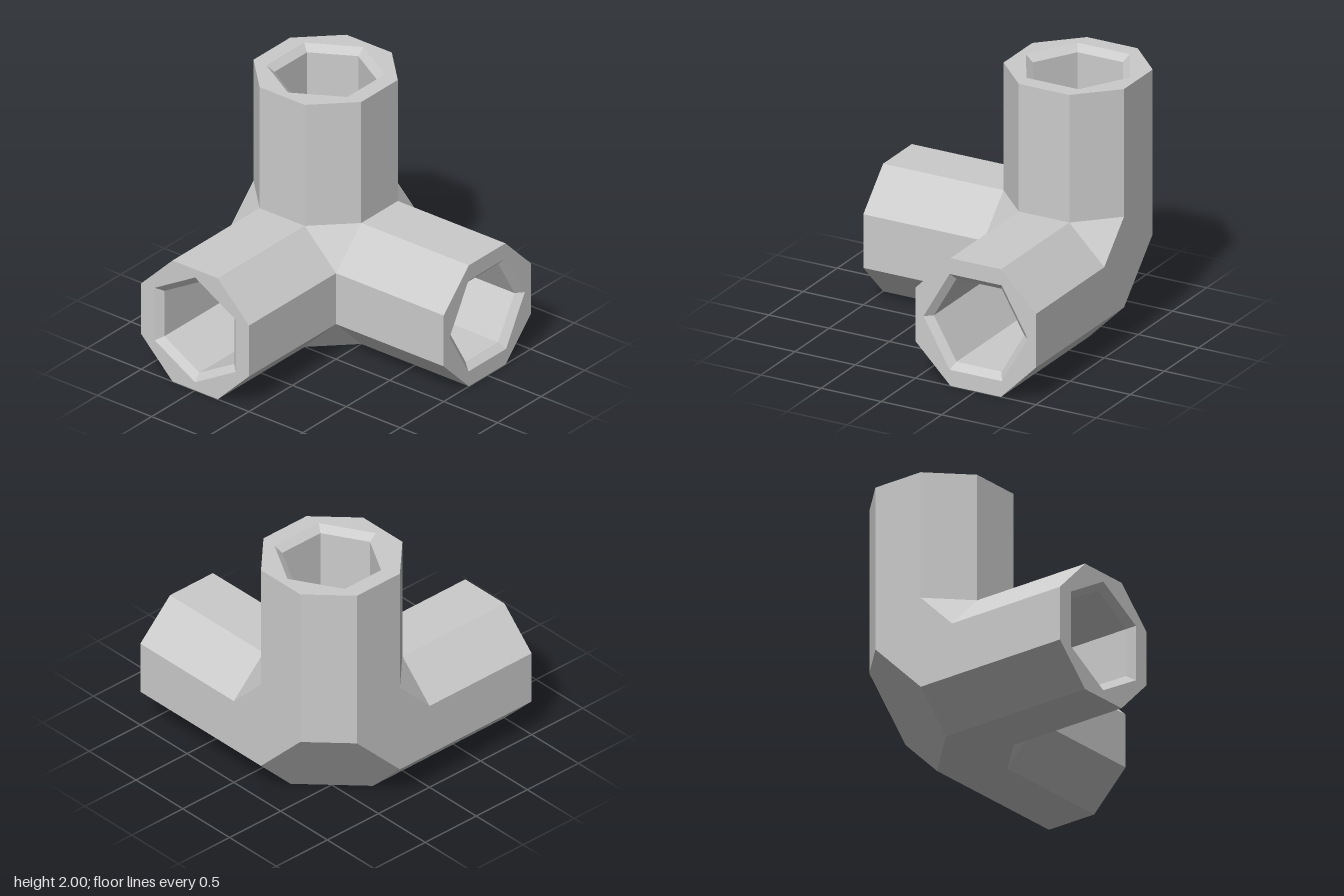
import * as THREE from 'three';

// Corner frame: a, b, c run from the outer corner along the three arms.
const H = 0.29, M = 0.71, LENGTH = 2;
const toModel = ([a, b, c]) => [1 - a, b, c - 1];
// Cyclic turns carry the c arm onto the a arm and the b arm.
const turns = [([a, b, c]) => [a, b, c], ([a, b, c]) => [c, a, b], ([a, b, c]) => [b, c, a]];

function makeMesh(name, faces, turn = turns[0]) {
  const positions = [];
  for (const face of faces) {
    const p = face.map((v) => toModel(turn(v)));
    // Reversed order, because the frame is mirrored in x.
    for (let i = 1; i < p.length - 1; i++) positions.push(...p[0], ...p[i + 1], ...p[i]);
  }
  const geometry = new THREE.BufferGeometry();
  geometry.setAttribute('position', new THREE.Float32BufferAttribute(positions, 3));
  geometry.computeVertexNormals();
  const material = new THREE.MeshStandardMaterial({ color: 0xcccccc, flatShading: true });
  const mesh = new THREE.Mesh(geometry, material);
  mesh.name = name;
  return mesh;
}

// Quads joining two rings of equal size
const bridge = (r0, r1) => r0.map((p, i) => {
  const j = (i + 1) % r0.length;
  return [p, r0[j], r1[j], r1[i]];
});

const hexagon = (radius, angle, c) => Array.from({ length: 6 }, (_, i) => {
  const t = angle + (i * Math.PI) / 3;
  return [0.5 + radius * Math.cos(t), 0.5 + radius * Math.sin(t), c];
});

// Octagonal tube whose inner end meets the mitred hub
function armFaces() {
  const inner = [
    [M, 0, 1], [1, H, 1], [1, M, 1], [M, 1, 1],
    [H, 1, 1], [0, M, 1], [0, H, M], [H, 0, M],
  ];
  return bridge(inner, inner.map(([a, b]) => [a, b, LENGTH]));
}

// Flat octagonal rim with a hexagonal opening
function rimFaces(angle) {
  const outer = [[M, 0], [1, H], [1, M], [M, 1], [H, 1], [0, M], [0, H], [H, 0]]
    .map(([a, b]) => [a, b, LENGTH]);
  const hole = hexagon(0.433, angle, LENGTH).reverse();
  const all = [...outer, ...hole];
  const flat = (ring) => ring.map(([a, b]) => new THREE.Vector2(a, b));
  return THREE.ShapeUtils.triangulateShape(flat(outer), [flat(hole)])
    .map((tri) => tri.map((i) => all[i]));
}

// Bevelled lip, straight hexagonal bore and its floor
function socketFaces(angle) {
  const mouth = hexagon(0.433, angle, LENGTH);
  const lip = hexagon(0.375, angle, LENGTH - 0.05);
  const floor = hexagon(0.375, angle, 1);
  return [...bridge(mouth, lip), ...bridge(lip, floor), floor]
    .map((f, i) => f);
}

// Hub: corner hexagon, inner corner triangle, and side facets repeated three times
function hubFaces() {
  const faces = [
    [[0, H, M], [0, M, H], [H, M, 0], [M, H, 0], [M, 0, H], [H, 0, M]],
    [[M, 1, 1], [1, M, 1], [1, 1, M]],
  ];
  const sides = [
    [[0, H, M], [0, M, 1], [0, 1, M], [0, M, H]],
    [[0, M, 1], [H, 1, 1], [0, 1, M]],
  ];
  for (const turn of turns) for (const side of sides) faces.push(side.map(turn));
  return faces;
}

export function createModel() {
  const model = new THREE.Group();
  model.name = 'threeWayPipeCorner';
  model.add(makeMesh('hub', hubFaces()));

  const names = ['frontArm', 'sideArm', 'upperArm'];
  const angles = [0, 0, Math.PI / 6]; // the upper socket is turned
  names.forEach((name, i) => {
    const arm = new THREE.Group();
    arm.name = name;
    arm.add(
      makeMesh('tube', armFaces(), turns[i]),
      makeMesh('rim', rimFaces(angles[i]), turns[i]),
      makeMesh('socket', socketFaces(angles[i]), turns[i]),
    );
    model.add(arm);
  });
  return model;
}
